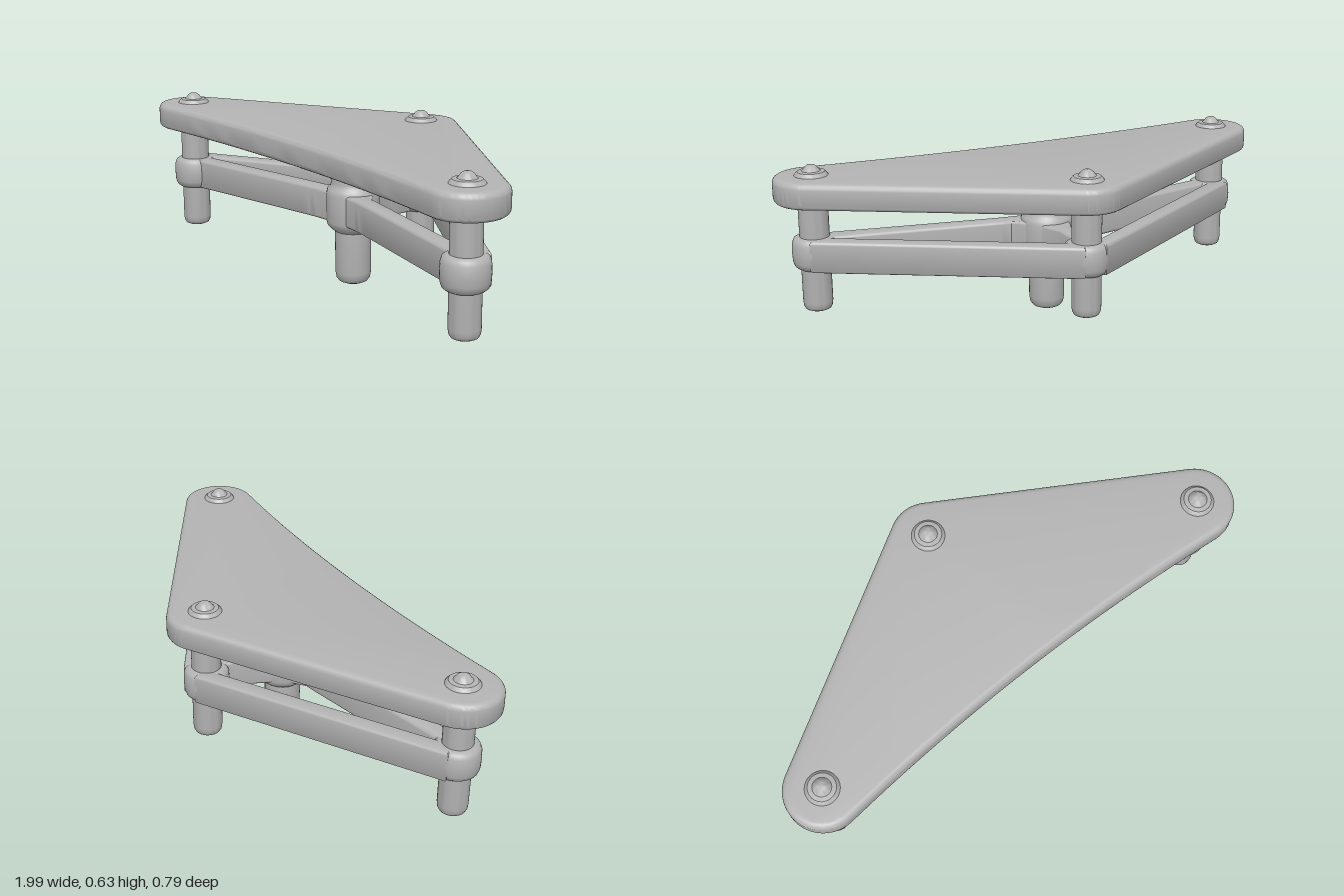
import * as THREE from 'three';
import { toCreasedNormals } from 'three/addons/utils/BufferGeometryUtils.js';

const PIN_X = 0.857, PIN_Z = 0.255, HUB_Z = 0.07;

export function createModel() {
  const group = new THREE.Group();
  const grey = new THREE.MeshStandardMaterial({ color: 0xb3b3b3 });
  grey.name = 'plain grey';

  function add(name, geometry, x = 0, y = 0, z = 0) {
    const mesh = new THREE.Mesh(toCreasedNormals(geometry, 0.65), grey);
    mesh.name = name;
    mesh.position.set(x, y, z);
    group.add(mesh);
  }

  // Horizontal slab with rounded edges; shape coordinates are (x, -z)
  function slab(name, shape, y0, y1, bevel) {
    const geo = new THREE.ExtrudeGeometry(shape, {
      depth: y1 - y0 - 2 * bevel, bevelThickness: bevel, bevelSize: bevel,
      bevelOffset: -bevel, bevelSegments: 4, curveSegments: 20,
    });
    geo.rotateX(-Math.PI / 2);
    add(name, geo, 0, y0 + bevel, 0);
  }

  function turned(name, pts, x, z) {
    add(name, new THREE.LatheGeometry(pts.map(p => new THREE.Vector2(...p)), 40), x, 0, z);
  }

  // Top plate: three round corners, gently hollowed front edge
  const side = Math.atan2(PIN_X, 2 * PIN_Z), R = 0.14, lean = 0.1;
  const plate = new THREE.Shape();
  plate.absarc(PIN_X, -PIN_Z, R, -Math.PI / 2 - lean, side);
  plate.absarc(0, PIN_Z, R, side, Math.PI - side);
  plate.absarc(-PIN_X, -PIN_Z, R, Math.PI - side, Math.PI * 1.5 + lean);
  plate.quadraticCurveTo(0, -0.305, PIN_X - R * Math.sin(lean), -PIN_Z - R * Math.cos(lean));
  slab('topPlate', plate, 0.49, 0.588, 0.022);

  // Pins with frame bosses and domed caps
  const pins = [['right', -PIN_X, PIN_Z], ['left', PIN_X, PIN_Z], ['back', 0, -PIN_Z]];
  for (const [label, x, z] of pins) {
    turned(label + 'Pin', [
      [0, 0.073], [0.034, 0.073], [0.047, 0.079], [0.053, 0.09], [0.055, 0.108], [0.055, 0.5],
    ], x, z);
    turned(label + 'Boss', [
      [0.05, 0.238], [0.066, 0.239], [0.077, 0.248], [0.083, 0.265], [0.085, 0.3],
      [0.083, 0.335], [0.077, 0.35], [0.066, 0.357], [0.05, 0.358],
    ], x, z);
    turned(label + 'Cap', [
      [0.064, 0.584], [0.058, 0.594], [0.05, 0.602], [0.034, 0.604], [0.029, 0.609],
      [0.023, 0.618], [0.013, 0.625], [0, 0.627],
    ], x, z);
  }

  // Two back straps, flush with the outside of the bosses
  const nx = Math.cos(side), ny = Math.sin(side);
  for (const s of [-1, 1]) {
    const strap = new THREE.Shape([[0.084, 1], [0.084, 0], [0.02, 0], [0.02, 1]].map(([d, end]) =>
      new THREE.Vector2(s * (end * PIN_X + nx * d), PIN_Z - end * 2 * PIN_Z + ny * d)));
    slab(s > 0 ? 'leftBackStrap' : 'rightBackStrap', strap, 0.238, 0.358, 0.012);
  }

  // Front strap, bowed back towards the hub
  const h = 0.035;
  const front = new THREE.Shape();
  front.moveTo(-PIN_X, -PIN_Z - h);
  front.lineTo(-0.2, -0.13 - h);
  front.quadraticCurveTo(0, -0.092 - h, 0.2, -0.13 - h);
  front.lineTo(PIN_X, -PIN_Z - h);
  front.lineTo(PIN_X, -PIN_Z + h);
  front.lineTo(0.2, -0.13 + h);
  front.quadraticCurveTo(0, -0.092 + h, -0.2, -0.13 + h);
  front.lineTo(-PIN_X, -PIN_Z + h);
  slab('frontStrap', front, 0.238, 0.358, 0.012);

  // Web tapering from the hub to the back pin
  const web = new THREE.Shape([
    [-0.17, -0.11], [0.17, -0.11], [0.075, -0.03], [0.028, 0.09],
    [0.025, 0.24], [-0.025, 0.24], [-0.028, 0.09], [-0.075, -0.03],
  ].map(p => new THREE.Vector2(...p)));
  slab('hubWeb', web, 0.238, 0.357, 0.01);

  // Central hub with flared collars
  turned('hub', [
    [0, 0], [0.038, 0.002], [0.054, 0.009], [0.064, 0.022], [0.068, 0.045], [0.068, 0.205],
    [0.082, 0.215], [0.096, 0.23], [0.1, 0.245], [0.1, 0.35], [0.096, 0.37], [0.085, 0.38],
    [0.082, 0.395], [0.082, 0.46], [0.092, 0.472], [0.098, 0.485], [0.1, 0.5],
  ], 0, HUB_Z);

  return group;
}
